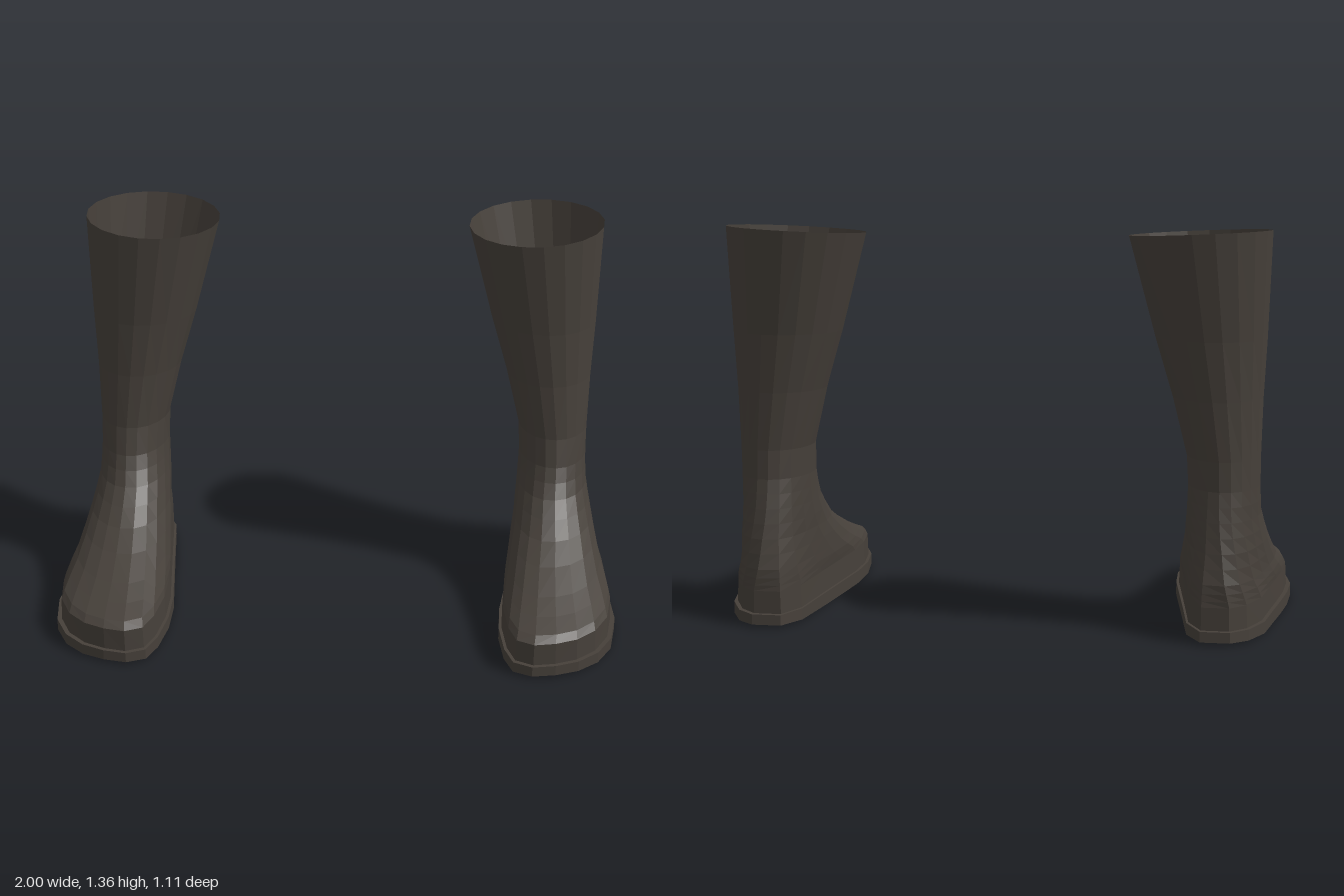
import * as THREE from 'three';

// Sole outline of the left boot [x, z], running from the heel round the outer side to the toe and back
const OUTLINE = [
  [0.71, -0.515], [0.81, -0.515], [0.87, -0.46], [0.92, -0.35], [0.945, -0.2],
  [0.97, -0.06], [0.99, 0.07], [1.0, 0.2], [0.98, 0.34], [0.93, 0.44],
  [0.86, 0.505], [0.78, 0.54], [0.70, 0.555], [0.635, 0.525], [0.605, 0.44],
  [0.587, 0.3], [0.59, 0.16], [0.61, 0], [0.635, -0.2], [0.66, -0.41],
];
const N = OUTLINE.length;

// Upper sections: y, inner x, outer x, back z, front z, roundness (0 = sole shape, 1 = ellipse)
const UPPER = [
  [0.04, 0.597, 0.985, -0.497, 0.54, 0],
  [0.125, 0.60, 0.98, -0.502, 0.54, 0],
  [0.145, 0.602, 0.975, -0.504, 0.51, 0.1],
  [0.17, 0.607, 0.965, -0.506, 0.43, 0.2],
  [0.20, 0.615, 0.95, -0.506, 0.345, 0.3],
  [0.25, 0.625, 0.935, -0.495, 0.22, 0.45],
  [0.30, 0.635, 0.922, -0.485, 0.12, 0.6],
  [0.35, 0.64, 0.91, -0.475, 0.05, 0.75],
  [0.40, 0.645, 0.90, -0.465, -0.01, 0.85],
  [0.45, 0.648, 0.897, -0.455, -0.045, 0.95],
  [0.50, 0.65, 0.895, -0.446, -0.07, 1],
  [0.60, 0.645, 0.895, -0.445, -0.095, 1],
  [0.80, 0.595, 0.90, -0.46, -0.105, 1],
  [1.00, 0.535, 0.91, -0.485, -0.10, 1],
  [1.345, 0.445, 0.922, -0.552, -0.072, 1],
];

// One horizontal ring fitted to the given extents
function section([y, x0, x1, z0, z1, round]) {
  return OUTLINE.map(([px, pz], i) => {
    const a = (-112 + (i * 360) / N) * Math.PI / 180;
    const nx = THREE.MathUtils.lerp((px - 0.7935) / 0.2065, Math.cos(a), round);
    const nz = THREE.MathUtils.lerp((pz - 0.02) / 0.535, Math.sin(a), round);
    const tilt = y > 1.2 ? 0.011 * nx - 0.008 * nz : 0; // sloping rim
    return [(x0 + x1) / 2 + (nx * (x1 - x0)) / 2, y + tilt, (z0 + z1) / 2 + (nz * (z1 - z0)) / 2];
  });
}

// Skin over a stack of rings; side = -1 mirrors to the right boot
function loft(rings, side, capped) {
  const pos = [], index = [];
  const tri = (a, b, c) => (side > 0 ? index.push(a, b, c) : index.push(a, c, b));
  rings.forEach((ring) => ring.forEach(([x, y, z]) => pos.push(x * side, y, z)));
  for (let r = 0; r < rings.length - 1; r++) {
    for (let i = 0; i < N; i++) {
      const a = r * N + i, b = r * N + ((i + 1) % N);
      tri(a, a + N, b);
      tri(b, a + N, b + N);
    }
  }
  if (capped) {
    const last = (rings.length - 1) * N, bottom = rings.length * N, top = bottom + 1;
    pos.push(0.79 * side, 0, 0.02, 0.79 * side, rings[rings.length - 1][0][1], 0.02);
    for (let i = 0; i < N; i++) {
      const j = (i + 1) % N;
      tri(bottom, i, j);
      tri(top, last + j, last + i);
    }
  }
  const geo = new THREE.BufferGeometry();
  geo.setAttribute('position', new THREE.Float32BufferAttribute(pos, 3));
  geo.setIndex(index);
  const flat = geo.toNonIndexed();
  flat.computeVertexNormals();
  return flat;
}

export function createModel() {
  const leather = new THREE.MeshStandardMaterial({ color: 0x46403a, flatShading: true, side: THREE.DoubleSide });
  leather.name = 'darkBrownLeather';

  // Sole: flat slab with gently lifted toe and heel
  const soleRings = [
    OUTLINE.map(([x, z]) => [x, 0.01 * ((z - 0.02) / 0.535) ** 2, z]),
    OUTLINE.map(([x, z]) => [x, 0.046, z]),
  ];
  const upperRings = UPPER.map(section);

  const model = new THREE.Group();
  model.name = 'boots';
  for (const [name, side] of [['leftBoot', 1], ['rightBoot', -1]]) {
    const boot = new THREE.Group();
    boot.name = name;
    const sole = new THREE.Mesh(loft(soleRings, side, true), leather);
    sole.name = 'sole';
    const upper = new THREE.Mesh(loft(upperRings, side, false), leather);
    upper.name = 'upper';
    boot.add(sole, upper);
    model.add(boot);
  }
  return model;
}
